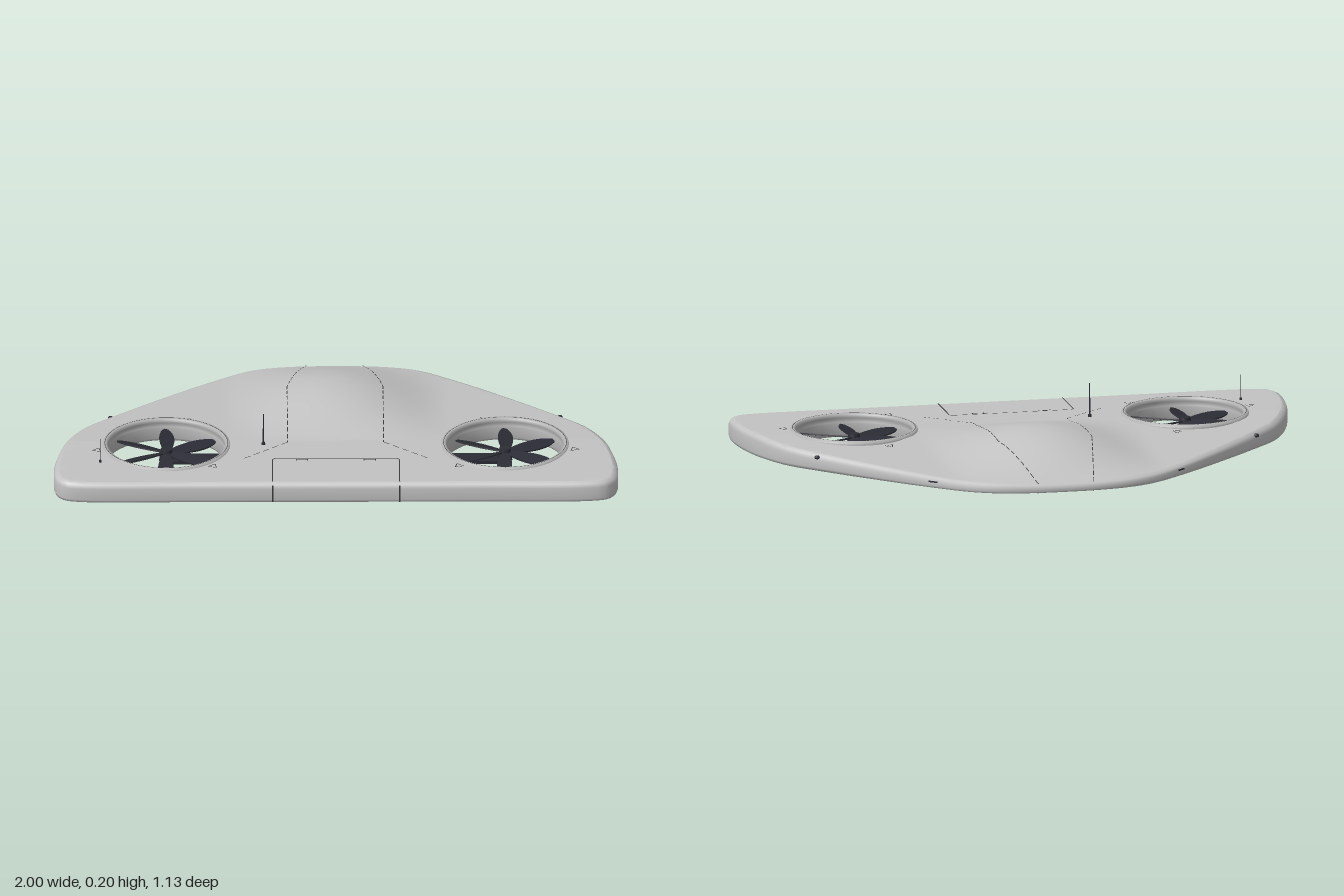
import * as THREE from 'three';
import { mergeVertices } from 'three/addons/utils/BufferGeometryUtils.js';

const FAN_X = 0.6, FAN_Z = 0.228, HOLE_R = 0.217;

// Height of the upper skin: sloping wing plus a smooth central dome
function skin(x, z) {
  const base = z > 0.2 ? 0.08 - 0.012 * (z - 0.2) : 0.08 - 0.066 * (0.2 - z);
  const t = THREE.MathUtils.clamp((0.2 - z) / 0.765, 0, 1);
  const u = Math.min(1, Math.abs(x) / 0.4);
  return base + 0.085 * Math.pow(Math.sin(Math.PI * t), 1.15) * (1 - u * u) ** 2;
}

// Planform, sampled as [x, z] from the rear centre round the left side
function planform() {
  const half = [[0.12, -0.561], [0.24, -0.54], [0.33, -0.5], [0.45, -0.405], [0.62, -0.245], [0.8, -0.06],
    [0.89, 0.045], [0.955, 0.18], [0.99, 0.32], [1, 0.44], [0.993, 0.505], [0.965, 0.545], [0.9, 0.562], [0.5, 0.565]];
  const pts = [[0, -0.565], ...half, [0, 0.565], ...half.map(([x, z]) => [-x, z]).reverse()];
  const curve = new THREE.CatmullRomCurve3(pts.map(([x, z]) => new THREE.Vector3(x, 0, z)), true);
  return curve.getSpacedPoints(220).slice(0, -1).map(p => [p.x, p.z]);
}

function inset(pts, d) {
  const n = pts.length;
  return pts.map(([x, z], i) => {
    const a = pts[(i + n - 1) % n], b = pts[(i + 1) % n];
    const tx = b[0] - a[0], tz = b[1] - a[1], l = Math.hypot(tx, tz);
    return [x - (tz / l) * d, z + (tx / l) * d];
  });
}

// Triangles of an outline with the two fan holes, as triples of [x, z] facing up
function capTriangles(outline) {
  const shape = new THREE.Shape(outline.map(([x, z]) => new THREE.Vector2(x, -z)));
  for (const s of [1, -1]) {
    const hole = new THREE.Path();
    hole.absarc(s * FAN_X, -FAN_Z, HOLE_R, 0, Math.PI * 2, true);
    shape.holes.push(hole);
  }
  const g = new THREE.ShapeGeometry(shape, 32).toNonIndexed(), p = g.attributes.position, tris = [];
  for (let i = 0; i < p.count; i += 3) tris.push([0, 1, 2].map(k => [p.getX(i + k), -p.getY(i + k)]));
  return tris;
}

// Halve the longest edges until all are short
function refine(tris, max) {
  const stack = [...tris], out = [];
  while (stack.length) {
    const t = stack.pop();
    const len = [0, 1, 2].map(k => Math.hypot(t[k][0] - t[(k + 1) % 3][0], t[k][1] - t[(k + 1) % 3][1]));
    const k = len.indexOf(Math.max(...len));
    if (len[k] <= max) { out.push(t); continue; }
    const a = t[k], b = t[(k + 1) % 3], c = t[(k + 2) % 3];
    const m = [(a[0] + b[0]) / 2, (a[1] + b[1]) / 2];
    stack.push([a, m, c], [m, b, c]);
  }
  return out;
}

function hullGeometry() {
  const pos = [], edge = planform(), n = edge.length;
  // rounded rim: [inset, share of rounding from the bottom or top]
  const steps = [[0.014, 0, 0], [0.004, 0.004, 0], [0, 0.014, 0], [0, 0.02, 1], [0.006, 0.006, 1], [0.02, 0, 1]];
  const rings = steps.map(([d, drop, top]) => inset(edge, d).map(([x, z]) => {
    const h = skin(x, z), k = Math.min(1, h / 0.06);
    return [x, top ? h - drop * k : drop * k, z];
  }));
  for (let r = 0; r + 1 < rings.length; r++) for (let i = 0; i < n; i++) {
    const j = (i + 1) % n, a = rings[r], b = rings[r + 1];
    pos.push(...a[i], ...b[i], ...b[j], ...a[i], ...b[j], ...a[j]);
  }
  for (const t of refine(capTriangles(inset(edge, 0.02)), 0.04)) for (const [x, z] of t) pos.push(x, skin(x, z), z);
  for (const t of capTriangles(inset(edge, 0.014))) for (const k of [0, 2, 1]) pos.push(t[k][0], 0, t[k][1]);
  let g = new THREE.BufferGeometry();
  g.setAttribute('position', new THREE.Float32BufferAttribute(pos, 3));
  g = mergeVertices(g, 1e-4);
  g.computeVertexNormals();
  return g;
}

// Thin strip lying on a surface along a polyline of [x, z]
function ribbon(path, height, width, dashed) {
  const pos = [];
  for (let s = 0; s + 1 < path.length; s++) {
    const [ax, az] = path[s], [bx, bz] = path[s + 1], L = Math.hypot(bx - ax, bz - az);
    const n = Math.max(1, Math.ceil(L / 0.015)), ox = (-(bz - az) / L) * width / 2, oz = ((bx - ax) / L) * width / 2;
    const at = (f, k) => {
      const x = ax + (bx - ax) * f + k * ox, z = az + (bz - az) * f + k * oz;
      return [x, height(x, z), z];
    };
    for (let i = 0; i < n; i++) {
      if (dashed && i % 3 === 2) continue;
      const f = i / n, e = (i + 1) / n;
      pos.push(...at(f, 1), ...at(e, 1), ...at(e, -1), ...at(f, 1), ...at(e, -1), ...at(f, -1));
    }
  }
  const g = new THREE.BufferGeometry();
  g.setAttribute('position', new THREE.Float32BufferAttribute(pos, 3));
  g.computeVertexNormals();
  return g;
}

export function createModel() {
  const model = new THREE.Group();
  const mat = (name, color, side = THREE.FrontSide) => Object.assign(new THREE.MeshStandardMaterial({ color, side }), { name });
  const grey = mat('hull grey', 0xc2c2c2), ductGrey = mat('duct grey', 0xb4b4b4, THREE.DoubleSide);
  const dark = mat('rotor dark', 0x2c2c36), seamMat = mat('seam dark', 0x3a3a3c, THREE.DoubleSide);
  const add = (parent, name, geo, m, x = 0, y = 0, z = 0) => {
    const mesh = new THREE.Mesh(geo, m);
    mesh.name = name;
    mesh.position.set(x, y, z);
    parent.add(mesh);
    return mesh;
  };

  add(model, 'hull', hullGeometry(), grey);

  // Fan duct profile and petal-shaped blade
  const ductProfile = [[0.218, 0], [0.211, 0.002], [0.205, 0.012], [0.205, 0.05], [0.21, 0.054], [0.21, 0.068],
    [0.206, 0.072], [0.208, 0.082], [0.214, 0.085], [0.224, 0.085], [0.228, 0.076]].map(p => new THREE.Vector2(...p));
  const ductGeo = new THREE.LatheGeometry(ductProfile, 64);
  const petal = new THREE.Shape();
  petal.moveTo(0.015, -0.01);
  petal.bezierCurveTo(0.07, -0.03, 0.15, -0.042, 0.198, -0.008);
  petal.lineTo(0.198, 0.008);
  petal.bezierCurveTo(0.15, 0.036, 0.07, 0.026, 0.015, 0.01);
  const bladeGeo = new THREE.ExtrudeGeometry(petal, { depth: 0.005, bevelEnabled: false, curveSegments: 10 });
  bladeGeo.rotateX(-Math.PI / 2 + 0.25);

  for (const s of [1, -1]) {
    const fan = new THREE.Group();
    fan.name = s > 0 ? 'leftFan' : 'rightFan';
    fan.position.set(s * FAN_X, 0, FAN_Z);
    model.add(fan);
    add(fan, 'duct', ductGeo, ductGrey);
    add(fan, 'ductSeam', new THREE.RingGeometry(0.217, 0.219, 64).rotateX(-Math.PI / 2), seamMat, 0, 0.0856, 0);
    for (let i = 0; i < 6; i++) add(fan, 'blade', bladeGeo, dark, 0, 0.045, 0).rotation.y = Math.PI / 6 + i * Math.PI / 3;
    add(fan, 'hub', new THREE.CylinderGeometry(0.02, 0.026, 0.045, 24), dark, 0, 0.04, 0);
    add(fan, 'strut', new THREE.BoxGeometry(0.2, 0.012, 0.07), dark, -s * 0.105, 0.022, 0);

    // Outlined triangle markers round the fan
    for (let i = 0; i < 3; i++) {
      const a = 0.2 + i * Math.PI * 2 / 3;
      const corner = k => {
        const c = a + k * Math.PI * 2 / 3;
        return [s * (FAN_X + Math.cos(a) * 0.25 + Math.cos(c) * 0.018), FAN_Z + Math.sin(a) * 0.25 + Math.sin(c) * 0.018];
      };
      add(model, 'marker', ribbon([0, 1, 2, 3].map(corner), (x, z) => skin(x, z) + 0.0015, 0.003), seamMat);
    }

    // Panel seams above and below, and the front hatch
    const panel = [[s * 0.1, -0.555], [s * 0.17, -0.2], [s * 0.17, 0.215], [s * 0.335, 0.36]];
    const hatch = [[0, 0.352], [s * 0.215, 0.352], [s * 0.225, 0.362], [s * 0.225, 0.548]];
    for (const [side, y] of [['upper', (x, z) => skin(x, z) + 0.0015], ['lower', () => -0.0008]]) {
      add(model, side + 'PanelSeam', ribbon(panel, y, 0.003, true), seamMat);
      add(model, side + 'HatchSeam', ribbon(hatch, y, 0.004), seamMat);
    }
    add(model, 'frontSeam', new THREE.BoxGeometry(0.004, 0.062, 0.004), seamMat, s * 0.225, 0.037, 0.5645);
    const latch = [[s * 0.1, 0.372], [s * 0.1, 0.36], [s * 0.14, 0.36], [s * 0.14, 0.372]];
    add(model, 'latch', ribbon(latch, (x, z) => skin(x, z) + 0.0015, 0.004), seamMat);

    // Small sensors on the rim
    add(model, 'rimSensor', new THREE.SphereGeometry(0.01, 16, 10), dark, s * 0.796, 0.052, -0.062).scale.y = 0.7;
    const slit = add(model, 'rimSlit', new THREE.BoxGeometry(0.035, 0.005, 0.006), dark, s * 0.449, 0.025, -0.405);
    slit.rotation.y = -s * 0.74;
  }

  // Antennas
  add(model, 'mainAntenna', new THREE.CylinderGeometry(0.002, 0.0032, 0.125, 10), dark, -0.256, 0.138, 0.235).rotation.x = 0.07;
  add(model, 'antennaBase', new THREE.CylinderGeometry(0.006, 0.007, 0.01, 16), dark, -0.256, 0.083, 0.231);
  add(model, 'thinAntenna', new THREE.CylinderGeometry(0.0008, 0.001, 0.095, 8), dark, -0.835, 0.122, 0.38);
  add(model, 'thinAntennaBase', new THREE.CylinderGeometry(0.004, 0.005, 0.01, 12), dark, -0.835, 0.081, 0.378);
  return model;
}
